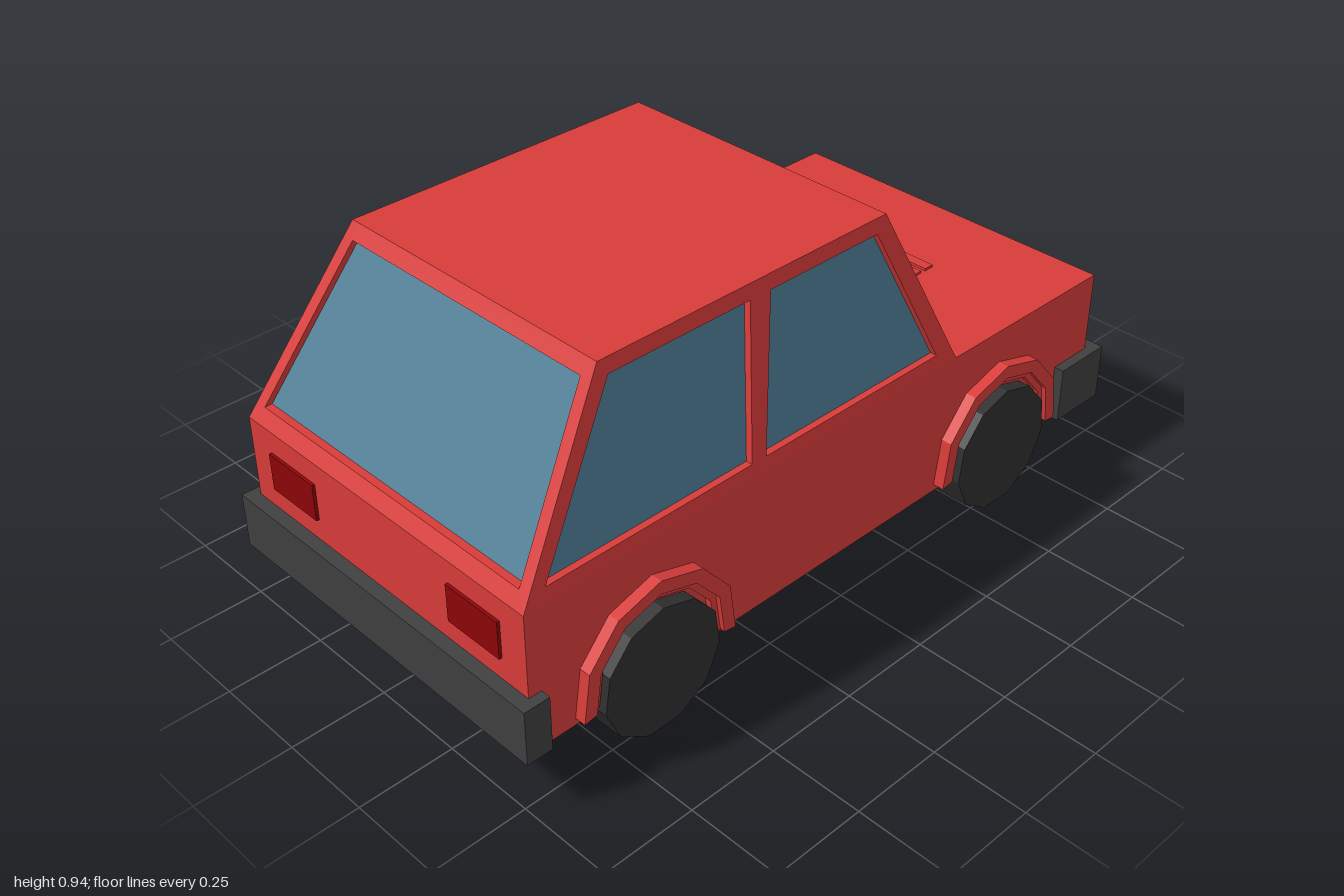
import * as THREE from 'three';

const mat = (color, extra = {}) => new THREE.MeshStandardMaterial({ color, flatShading: true, ...extra });

export function createModel() {
  const car = new THREE.Group();
  car.name = 'car';
  const red = mat(0xd83c3a), glass = mat(0x4d7d95, { side: THREE.DoubleSide });
  const grey = mat(0x404040), tyre = mat(0x2f2f2f), yellow = mat(0xdcb432), darkRed = mat(0x8c0508);

  const add = (name, geometry, material, parent = car) => {
    const mesh = new THREE.Mesh(geometry, material);
    mesh.name = name;
    parent.add(mesh);
    return mesh;
  };
  // Box given by its limits on each axis
  const box = (name, material, [x0, x1], [y0, y1], [z0, z1], parent = car) => {
    const mesh = add(name, new THREE.BoxGeometry(x1 - x0, y1 - y0, z1 - z0), material, parent);
    mesh.position.set((x0 + x1) / 2, (y0 + y1) / 2, (z0 + z1) / 2);
    return mesh;
  };
  const toPath = (points) => points.map(([x, y]) => new THREE.Vector2(x, y));

  // Lower body
  const FLOOR = 0.13, BELT = 0.505, ROOF = 0.945;
  box('body', red, [-0.965, 0.96], [FLOOR, BELT], [-0.49, 0.49]);

  // Cabin wall: outline with window openings, leaned inward, with recessed panes
  function cabinWall(name, outline, windows, base, top, recess, angle) {
    const wall = new THREE.Group();
    wall.name = name;
    wall.rotation.y = angle;
    car.add(wall);
    const lean = (geometry, offset) => {
      const p = geometry.attributes.position;
      for (let i = 0; i < p.count; i++) {
        const t = (p.getY(i) - BELT) / (ROOF - BELT);
        p.setZ(i, p.getZ(i) - offset + base + (top - base) * t);
      }
      geometry.computeVertexNormals();
      return geometry;
    };
    const shape = new THREE.Shape(toPath(outline));
    windows.forEach((w) => shape.holes.push(new THREE.Path(toPath(w))));
    add('windowFrame', lean(new THREE.ExtrudeGeometry(shape, { depth: recess, bevelEnabled: false }), recess), red, wall);
    windows.forEach((w) =>
      add('windowPane', lean(new THREE.ShapeGeometry(new THREE.Shape(toPath(w))), recess - 0.002), glass, wall));
  }

  // Side walls with two windows each
  const sideOutline = [[-0.965, BELT], [0.395, BELT], [0.195, ROOF], [-0.68, ROOF]];
  const sideWindows = [
    [[-0.9, 0.54], [-0.305, 0.54], [-0.25, 0.908], [-0.657, 0.908]],
    [[-0.26, 0.54], [0.325, 0.54], [0.16, 0.908], [-0.187, 0.908]],
  ];
  const flip = (points) => points.map(([x, y]) => [-x, y]);
  cabinWall('leftOrRightSideWallNear', sideOutline, sideWindows, 0.49, 0.41, 0.02, 0);
  cabinWall('leftOrRightSideWallFar', flip(sideOutline), sideWindows.map(flip), 0.49, 0.41, 0.02, Math.PI);

  // Windscreen and rear window
  const endOutline = [[-0.49, BELT], [0.49, BELT], [0.41, ROOF], [-0.41, ROOF]];
  const endWindow = [[-0.452, 0.54], [0.452, 0.54], [0.384, 0.91], [-0.384, 0.91]];
  cabinWall('windscreen', endOutline, [endWindow], 0.395, 0.195, 0.028, Math.PI / 2);
  cabinWall('rearWindow', endOutline, [endWindow], 0.965, 0.68, 0.022, -Math.PI / 2);
  box('roof', red, [-0.68, 0.195], [ROOF - 0.02, ROOF], [-0.41, 0.41]);

  // Wheels and stepped wheel arches, all eleven-sided
  const SIDES = 11;
  function archRing(outer, inner) {
    const arc = (r) => Array.from({ length: 7 }, (_, i) => {
      const a = ((i - 3) / SIDES) * Math.PI * 2;
      return [Math.sin(a) * r, Math.cos(a) * r];
    });
    return new THREE.Shape(toPath([...arc(outer), ...arc(inner).reverse()]));
  }
  for (const x of [-0.615, 0.575]) {
    for (const side of [1, -1]) {
      const wheel = add('wheel', new THREE.CylinderGeometry(0.1735, 0.1735, 0.12, SIDES), tyre);
      wheel.geometry.rotateY(Math.PI).rotateX(Math.PI / 2);
      wheel.position.set(x, 0.1665, side * 0.465);
      for (const [name, outer, inner, reach] of [['archRim', 0.23, 0.194, 0.52], ['archLip', 0.194, 0.176, 0.507]]) {
        const depth = reach - 0.47;
        const arch = add(name, new THREE.ExtrudeGeometry(archRing(outer, inner), { depth, bevelEnabled: false }), red);
        arch.position.set(x, 0.182, side > 0 ? 0.47 : -reach);
      }
    }
  }
  // Point one corner of each wheel straight up
  car.children.filter((m) => m.name === 'wheel').forEach((m) => {
    const p = m.geometry.attributes.position;
    let high = -1;
    for (let i = 0; i < p.count; i++) high = Math.max(high, p.getY(i));
    if (high < 0.173) m.geometry.rotateZ(Math.PI);
  });

  // Bumpers wrapping round the corners
  function bumper(name, outerX, bodyX, armX, y) {
    const group = new THREE.Group();
    group.name = name;
    car.add(group);
    const span = (a, b) => [Math.min(a, b), Math.max(a, b)];
    box('bumperBar', grey, span(bodyX, outerX), y, [-0.517, 0.517], group);
    for (const s of [1, -1]) box('bumperEnd', grey, span(armX, bodyX), y, span(s * 0.485, s * 0.517), group);
  }
  bumper('frontBumper', 1, 0.955, 0.828, [0.125, 0.28]);
  bumper('rearBumper', -1, -0.96, -0.93, [0.138, 0.285]);

  // Lamps
  for (const s of [1, -1]) {
    const z = s > 0 ? [0.24, 0.41] : [-0.41, -0.24];
    box('headlight', yellow, [0.95, 0.964], [0.34, 0.445], z);
    box('tailLight', darkRed, [-0.973, -0.95], [0.345, 0.445], z);
  }

  // Bonnet vents
  for (const x of [0.582, 0.63, 0.677])
    box('bonnetVent', red, [x - 0.015, x + 0.015], [0.5, 0.512], [-0.17, 0.17]);

  return car;
}
